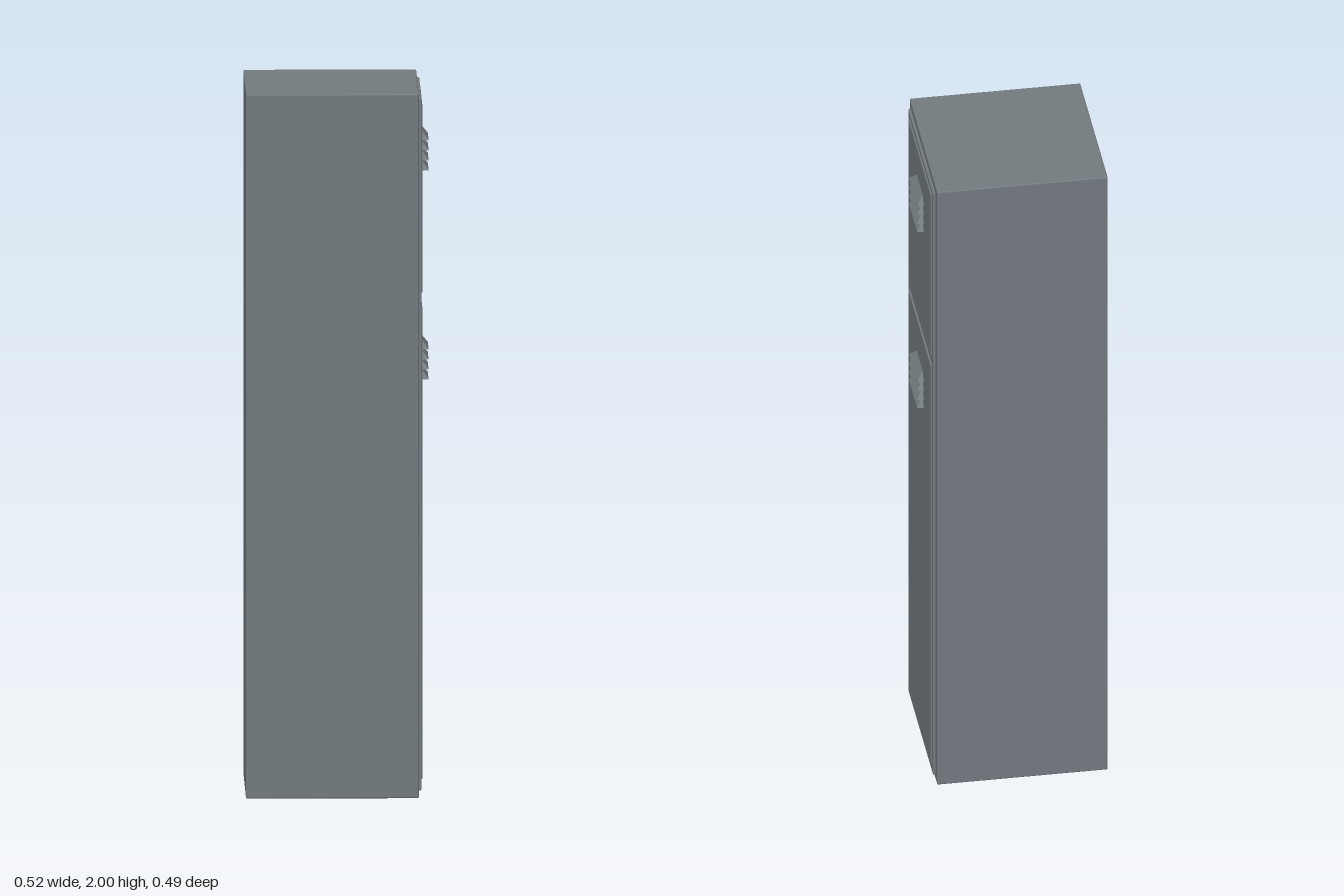
import * as THREE from 'three';
import { RoundedBoxGeometry } from 'three/addons/geometries/RoundedBoxGeometry.js';

const FRONT = 0.228;      // x of the cabinet face that carries the doors
const PANEL = 0.239;      // x of the door panel faces

// Rectangle outline in the door plane
function rect(Type, halfWidth, y0, y1) {
  const p = new Type();
  p.moveTo(-halfWidth, y0);
  p.lineTo(halfWidth, y0);
  p.lineTo(halfWidth, y1);
  p.lineTo(-halfWidth, y1);
  p.closePath();
  return p;
}

// Hooded vent: narrow top edge on the door, wide lower lip standing proud
function louvreGeometry() {
  const h = 0.026, d = 0.019, top = 0.05, low = 0.075;
  const A = [0, h, top], B = [0, h, -top];
  const C = [d, 0, low], D = [d, 0, -low];
  const E = [0, 0, low], F = [0, 0, -low];
  const tris = [A, C, D, A, D, B, A, E, C, B, D, F, E, F, D, E, D, C];
  const g = new THREE.BufferGeometry();
  g.setAttribute('position', new THREE.Float32BufferAttribute(tris.flat(), 3));
  g.computeVertexNormals();
  return g;
}

export function createModel() {
  const model = new THREE.Group();
  model.name = 'locker';
  const steel = new THREE.MeshStandardMaterial({ color: 0x747c81 });
  steel.name = 'grey steel';

  const add = (parent, name, geometry, x = 0, y = 0, z = 0) => {
    const mesh = new THREE.Mesh(geometry, steel);
    mesh.name = name;
    mesh.position.set(x, y, z);
    parent.add(mesh);
    return mesh;
  };

  // Cabinet
  const depth = FRONT + 0.258;
  add(model, 'cabinet', new RoundedBoxGeometry(depth, 2, 0.485, 2, 0.004),
    FRONT - depth / 2, 1, 0);

  // Door frame with an opening for each door
  const frame = rect(THREE.Shape, 0.217, 0.021, 1.979);
  frame.holes.push(rect(THREE.Path, 0.203, 0.039, 1.394));
  frame.holes.push(rect(THREE.Path, 0.203, 1.419, 1.966));
  const frameGeometry = new THREE.ExtrudeGeometry(frame, {
    depth: 0.005, bevelEnabled: true, bevelThickness: 0.002,
    bevelSize: 0.002, bevelSegments: 1,
  });
  frameGeometry.rotateY(Math.PI / 2);
  add(model, 'doorFrame', frameGeometry, FRONT + 0.001);

  // Doors, each with a stack of four louvres
  const louvre = louvreGeometry();
  const doors = [
    { name: 'lowerDoor', y0: 0.048, y1: 1.385, vent: 1.165 },
    { name: 'upperDoor', y0: 1.43, y1: 1.96, vent: 1.759 },
  ];
  for (const { name, y0, y1, vent } of doors) {
    const door = new THREE.Group();
    door.name = name;
    model.add(door);
    add(door, 'doorPanel', new RoundedBoxGeometry(0.018, y1 - y0, 0.392, 2, 0.003),
      PANEL - 0.009, (y0 + y1) / 2, 0);
    for (let i = 0; i < 4; i++) {
      add(door, 'louvre', louvre, PANEL, vent + i * 0.0285, 0);
    }
  }
  return model;
}
